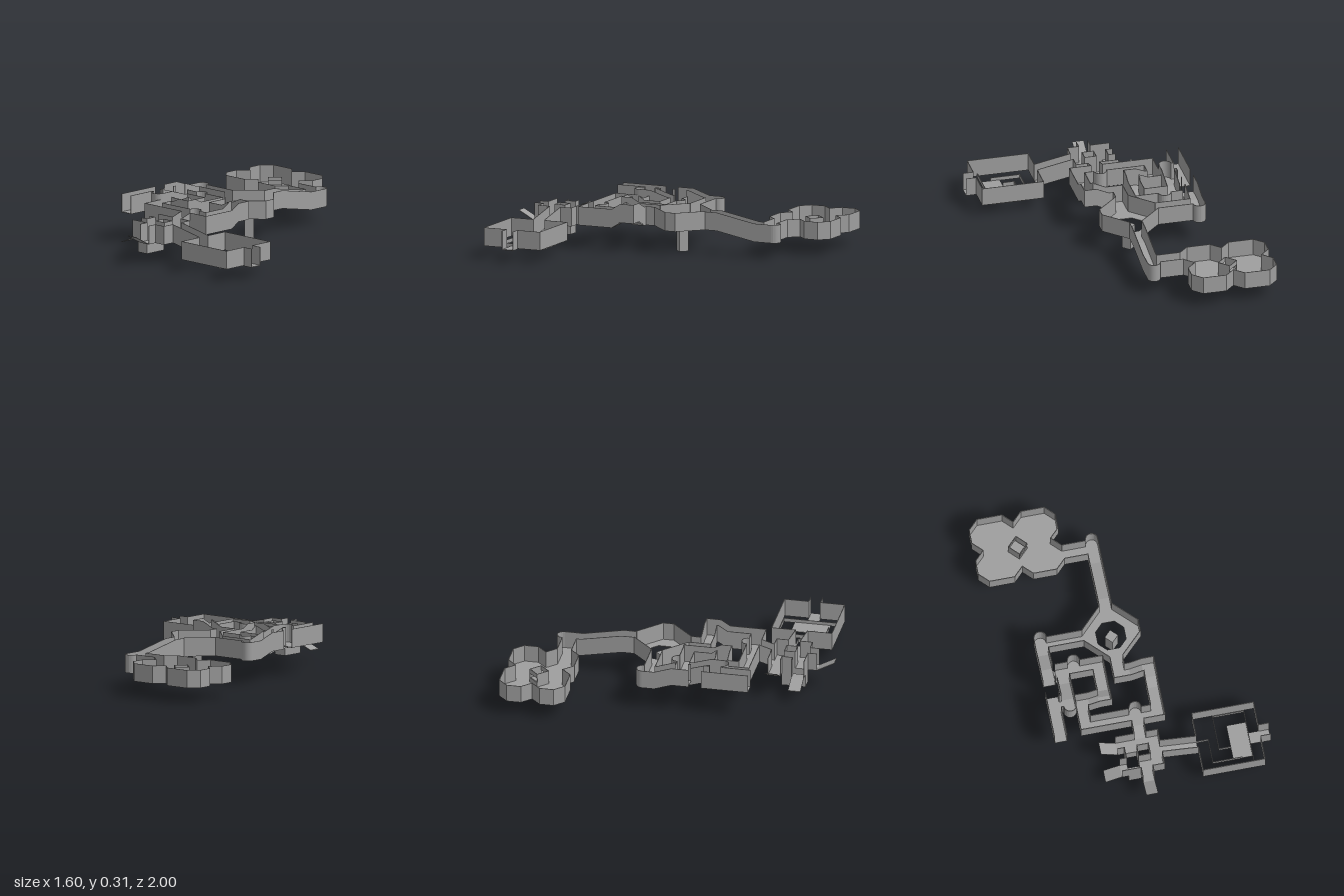
import * as THREE from 'three';

const material = new THREE.MeshStandardMaterial({ color: 0x9e9e9e, side: THREE.DoubleSide, flatShading: true });
const HEIGHT = 0.115;
const THICK = 0.004;

// Points are [x, z] or [x, z, floor height]
export function createModel() {
  const root = new THREE.Group();
  let section = root;

  function begin(name) {
    section = new THREE.Group();
    section.name = name;
    root.add(section);
  }

  function addMesh(name, positions, index) {
    const g = new THREE.BufferGeometry();
    g.setAttribute('position', new THREE.Float32BufferAttribute(positions, 3));
    g.setIndex(index);
    g.computeVertexNormals();
    const mesh = new THREE.Mesh(g, material);
    mesh.name = name;
    section.add(mesh);
  }

  // Thin slab over a flat or sloping polygon, optionally with one hole
  function floor(y, points, hole = []) {
    const to2 = list => list.map(p => new THREE.Vector2(p[0], -p[1]));
    const tris = THREE.ShapeUtils.triangulateShape(to2(points), hole.length ? [to2(hole)] : []);
    const all = [...points, ...hole], n = all.length;
    const index = tris.flatMap(([a, b, c]) => [a, b, c, n + a, n + c, n + b]);
    for (const [start, count] of [[0, points.length], [points.length, hole.length]]) {
      for (let i = 0; i < count; i++) {
        const a = start + i, b = start + (i + 1) % count;
        index.push(a, n + a, b, b, n + a, n + b);
      }
    }
    const layer = drop => all.flatMap(p => [p[0], (p[2] ?? y) - drop, p[1]]);
    addMesh('floor', [...layer(0), ...layer(THICK)], index);
  }

  const rect = (y, x0, x1, z0, z1) => floor(y, [[x0, z1], [x1, z1], [x1, z0], [x0, z0]]);
  const rampX = (x0, y0, x1, y1, z0, z1) => floor(0, [[x0, z1, y0], [x1, z1, y1], [x1, z0, y1], [x0, z0, y0]]);
  const rampZ = (z0, y0, z1, y1, x0, x1) => floor(0, [[x0, z1, y1], [x1, z1, y1], [x1, z0, y0], [x0, z0, y0]]);

  // Thin upright wall following a line of points, mitred at the corners
  function wall(y, points, height = HEIGHT) {
    const pos = [], index = [], last = points.length - 1;
    const normals = points.slice(1).map((p, i) =>
      new THREE.Vector2(points[i][1] - p[1], p[0] - points[i][0]).normalize());
    points.forEach((p, i) => {
      const n0 = normals[Math.max(i - 1, 0)], n1 = normals[Math.min(i, last - 1)];
      const m = n0.clone().add(n1).normalize();
      m.multiplyScalar(THICK / 2 / Math.max(m.dot(n1), 0.5));
      const b = p[2] ?? y;
      for (const [side, h] of [[1, 0], [1, height], [-1, height], [-1, 0]])
        pos.push(p[0] + side * m.x, b + h, p[1] + side * m.y);
      if (!i) return;
      for (let k = 0; k < 4; k++) {
        const a = 4 * i - 4 + k, c = 4 * i - 4 + (k + 1) % 4;
        index.push(a, a + 4, c, c, a + 4, c + 4);
      }
    });
    const e = 4 * last;
    index.push(0, 1, 2, 0, 2, 3, e, e + 2, e + 1, e, e + 3, e + 2);
    addMesh('wall', pos, index);
  }

  const loop = (y, points, height) => wall(y, [...points, points[0]], height);
  const box = (x0, x1, z0, z1) => [[x0, z1], [x1, z1], [x1, z0], [x0, z0]];
  const diamond = (x, z, r) => [[x - r, z], [x, z + r], [x + r, z], [x, z - r]];

  // Half-round alcove outline; dir -1 bulges to the back, +1 to the front
  function alcove(x, z, y, dir = -1) {
    const pts = [];
    for (let i = 0; i <= 10; i++) {
      const a = Math.PI * i / 10;
      pts.push([x + 0.04 * Math.cos(a), z + dir * 0.04 * Math.sin(a), y]);
    }
    floor(y, pts);
    return pts;
  }

  // Four-lobed chamber
  begin('cloverChamber');
  const clover = [
    [-.25, -.64], [-.31, -.58], [-.46, -.58], [-.52, -.64], [-.58, -.58], [-.74, -.58], [-.8, -.64],
    [-.8, -.73], [-.74, -.79], [-.8, -.85], [-.8, -.94], [-.74, -1], [-.58, -1], [-.52, -.94],
    [-.46, -1], [-.31, -1], [-.25, -.94], [-.25, -.85], [-.31, -.79], [-.25, -.73]
  ];
  const shaft = diamond(-.52, -.79, .06);
  floor(.105, clover, shaft);
  wall(.105, clover, .11);

  // Central booth: two solid sides, two sides with window openings
  begin('cloverBooth');
  const [west, south, east, north] = shaft;
  for (const side of [[west, south], [east, north]]) wall(.105, side, .09);
  for (const side of [[south, east], [north, west]]) {
    wall(.105, side, .03);
    wall(.165, side, .03);
  }
  floor(.14, [[-.573, -.797], [-.513, -.737], [-.467, -.783], [-.527, -.843]]);

  // Sloping passage to the ring
  begin('northPassage');
  rect(.105, -.25, -.1, -.73, -.64);
  rect(.105, -.1, -.02, -.73, -.61);
  rampZ(-.61, .105, -.35, .155, -.1, -.02);
  rect(.155, -.1, -.02, -.35, -.27);
  wall(.105, [[-.25, -.73], [-.1, -.73], ...alcove(-.06, -.73, .105).reverse().slice(1),
    [-.02, -.61], [-.02, -.35, .155], [-.02, -.27, .155]], .112);
  wall(.105, [[-.25, -.64], [-.1, -.64], [-.1, -.61], [-.1, -.35, .155], [-.1, -.27, .155]], .112);

  // Octagonal ring around an open well
  begin('octagonRing');
  floor(.155,
    [[-.1, -.27], [-.24, -.13], [-.24, -.06], [-.1, .08], [-.02, .08], [.122, -.06], [.122, -.13], [-.02, -.27]],
    [[-.1, -.19], [-.15, -.14], [-.15, -.06], [-.1, -.01], [-.02, -.01], [.03, -.06], [.03, -.14], [-.02, -.19]]);
  wall(.155, [[-.02, -.27], [.122, -.13], [.122, -.06], [-.02, .08]]);
  wall(.155, [[-.1, -.27], [-.24, -.13]]);
  wall(.155, [[-.24, -.06], [-.1, .08]]);
  begin('centralPillar');
  const pillar = diamond(-.058, -.095, .04);
  loop(0, pillar, .155);
  floor(.004, pillar);
  floor(.155, pillar);

  // West passage, rising to the front
  begin('westPassage');
  rect(.155, -.505, -.24, -.13, -.06);
  rect(.155, -.545, -.465, -.13, -.05);
  rampZ(-.05, .155, .06, .192, -.545, -.465);
  rect(.192, -.545, -.465, .06, .17);
  rampX(-.465, .192, -.45, .155, .07, .15);
  wall(.155, [[-.24, -.13], ...alcove(-.505, -.13, .155), [-.545, -.05], [-.545, .06, .192], [-.545, .17, .192]]);
  wall(.155, [[-.24, -.06], [-.465, -.06], [-.465, -.05], [-.465, .06, .192], [-.465, .07, .192]]);
  wall(.192, [[-.465, .15], [-.465, .17]]);

  // Detached stretch beyond the gap
  begin('westBranch');
  rect(.192, -.545, -.465, .25, .55);
  rect(.192, -.465, -.45, .285, .36);
  wall(.192, [[-.545, .25], [-.545, .55]]);
  wall(.192, [[-.465, .25], [-.465, .285], [-.45, .285]]);
  wall(.192, [[-.45, .36], [-.465, .36], [-.465, .55]]);

  // Winding corridor
  begin('windingCorridor');
  rect(.155, -.1, -.02, .08, .22);
  rect(.155, -.02, .01, .14, .22);
  rampX(.01, .155, .09, .192, .14, .22);
  rect(.192, .09, .167, .14, .23);
  rampZ(.23, .192, .29, .155, .09, .167);
  rect(.155, .09, .167, .29, .44);
  rect(.155, -.37, .167, .44, .52);
  rect(.155, -.37, -.295, .285, .44);
  rect(.155, -.295, -.28, .285, .365);
  rampX(-.28, .155, -.22, .18, .285, .365);
  rect(.18, -.22, -.143, .3, .365);
  rampZ(.25, .155, .3, .18, -.22, -.143);
  rect(.155, -.22, -.143, .14, .25);
  rect(.155, -.45, -.143, .06, .14);
  rect(.155, -.45, -.37, .14, .16);
  rampZ(.16, .155, .28, .192, -.45, -.37);
  rect(.192, -.45, -.37, .28, .36);
  wall(.155, [[-.02, .08], [-.02, .14], [.01, .14], [.09, .14, .192], [.167, .14, .192], [.167, .23, .192],
    [.167, .29], [.167, .52], [.028, .52]]);
  wall(.155, [[-.1, .08], [-.1, .22], [.01, .22], [.09, .22, .192], [.09, .23, .192], [.09, .29], [.09, .44],
    ...alcove(-.01, .44, .155), [-.295, .44], [-.295, .365], [-.28, .365], [-.22, .365, .18], [-.143, .365, .18],
    [-.143, .3, .18], [-.143, .25], [-.143, .06], ...alcove(-.33, .06, .155), [-.45, .06]]);
  wall(.155, [[-.047, .52], [-.37, .52], [-.37, .285], [-.28, .285], [-.22, .285, .18], [-.22, .25],
    [-.22, .14], [-.37, .14], [-.37, .16], [-.37, .28, .192], ...alcove(-.41, .36, .192, 1)]);
  wall(.155, [[-.45, .15], [-.45, .16], [-.45, .28, .192]]);

  // Junction block with its hanging pit
  begin('southJunction');
  rampZ(.52, .155, .6, .13, -.047, .028);
  rect(.13, -.17, .103, .6, .68);
  rect(.13, .028, .103, .68, .83);
  rect(.13, -.17, -.125, .75, .83);
  rect(.13, -.047, .028, .75, .89);
  wall(.13, [[-.17, .6], [-.047, .6], [-.047, .52, .155]]);
  wall(.13, [[.028, .52, .155], [.028, .6], [.103, .6], [.103, .675]]);
  wall(.13, [[.103, .75], [.103, .83], [.028, .83], [.028, .89]]);
  wall(.13, [[-.047, .89], [-.047, .83], [-.17, .83]]);
  wall(.13, [[-.17, .68], [-.125, .68], [-.125, .75], [-.17, .75]]);
  loop(.13, box(-.047, .028, .68, .75));
  loop(.045, box(-.125, -.047, .68, .83), .085);
  rect(.049, -.125, -.047, .75, .83);

  // Thin tilted plates at the open ends
  begin('tiltedPlates');
  rampX(-.275, .195, -.17, .13, .6, .68);
  rampX(-.275, .087, -.17, .13, .75, .83);
  rampZ(.89, .13, 1, .19, -.047, .028);

  // Descending passage to the east room
  begin('eastPassage');
  rampX(.103, .13, .26, .1, .675, .75);
  rampX(.26, .1, .335, .085, .675, .75);
  for (const z of [.675, .75]) wall(.13, [[.103, z], [.26, z, .1], [.335, z, .085]]);

  // East room: open frame, low ledges and a sunken slab
  begin('eastRoom');
  wall(.08, [[.335, .675], [.335, .52], [.73, .52], [.73, .675]], .117);
  wall(.08, [[.335, .75], [.335, .905], [.73, .905], [.73, .75]], .117);
  wall(.072, [[.335, .675], [.41, .675], [.41, .83], [.6, .83]], .025);
  wall(.072, [[.54, .75], [.465, .75], [.465, .53], [.665, .53], [.665, .905]], .025);
  rect(.076, .54, .665, .6, .83);
  begin('eastExit');
  rect(.08, .665, .797, .675, .75);
  for (const z of [.675, .75]) wall(.08, [[.73, z], [.797, z]], .117);

  return root;
}
